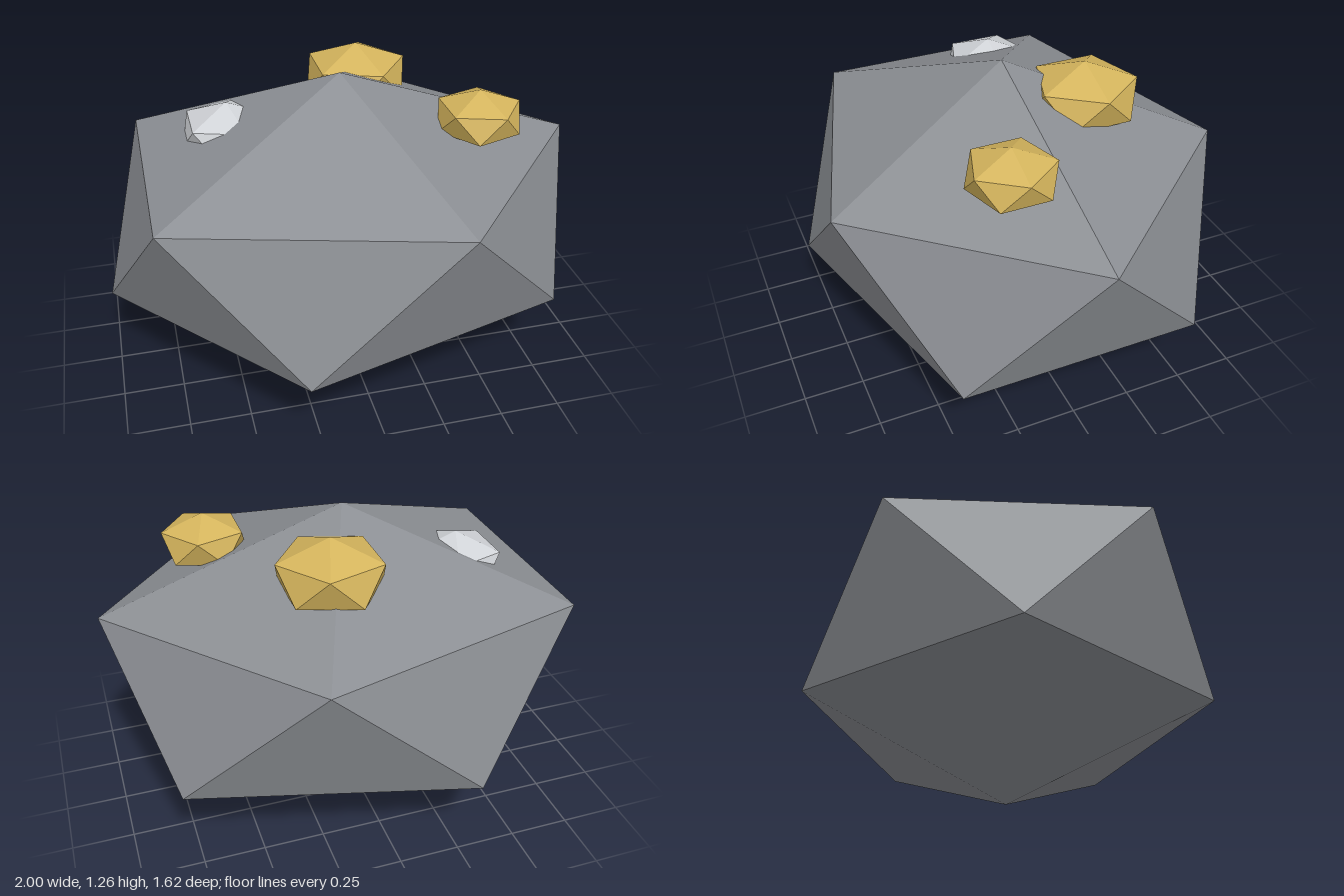
import * as THREE from 'three';

// Icosahedron standing on one corner, with a ring corner pointing to +x
function uprightIcosahedron() {
  const ringY = 1 / Math.sqrt(5), ringR = 2 * ringY;
  const points = [0, 1, 0];
  for (const [y, turn] of [[ringY, 0], [-ringY, 0.5]]) {
    for (let i = 0; i < 5; i++) {
      const a = (i + turn) * Math.PI * 2 / 5;
      points.push(ringR * Math.cos(a), y, ringR * Math.sin(a));
    }
  }
  points.push(0, -1, 0);

  const faces = [];
  for (let i = 0; i < 5; i++) {
    const n = (i + 1) % 5;
    const u = 1 + i, un = 1 + n, l = 6 + i, ln = 6 + n;
    faces.push(0, un, u, u, un, l, l, un, ln, 11, l, ln);
  }
  const geometry = new THREE.BufferGeometry();
  geometry.setAttribute('position', new THREE.Float32BufferAttribute(points, 3));
  geometry.setIndex(faces);
  return geometry;
}

// One faceted stone with the given centre and radii
function stone(name, material, center, radii) {
  const geometry = uprightIcosahedron().scale(...radii).toNonIndexed();
  geometry.computeVertexNormals();
  const mesh = new THREE.Mesh(geometry, material);
  mesh.name = name;
  mesh.position.set(...center);
  return mesh;
}

function flatMaterial(name, color) {
  const material = new THREE.MeshStandardMaterial({ color, flatShading: true });
  material.name = name;
  return material;
}

export function createModel() {
  const rock = flatMaterial('rock grey', 0x8b8e93);
  const gold = flatMaterial('gold', 0xd4b45c);
  const silver = flatMaterial('silver', 0xd0d3d7);

  const model = new THREE.Group();
  model.name = 'oreRock';

  // Boulder
  model.add(stone('boulder', rock, [0, 0.628, 0], [1.118, 0.628, 0.95]));

  // Nuggets half sunk into the top: name, material, centre, size
  const nuggets = [
    ['largeGoldNugget', gold, [0.144, 1.115, -0.295], 0.241],
    ['smallGoldNugget', gold, [0.53, 1.092, 0.19], 0.191],
    ['silverNugget', silver, [-0.448, 0.995, -0.125], 0.21],
  ];
  for (const [name, material, center, r] of nuggets) {
    model.add(stone(name, material, center, [r, r * 0.6, r]));
  }
  return model;
}
